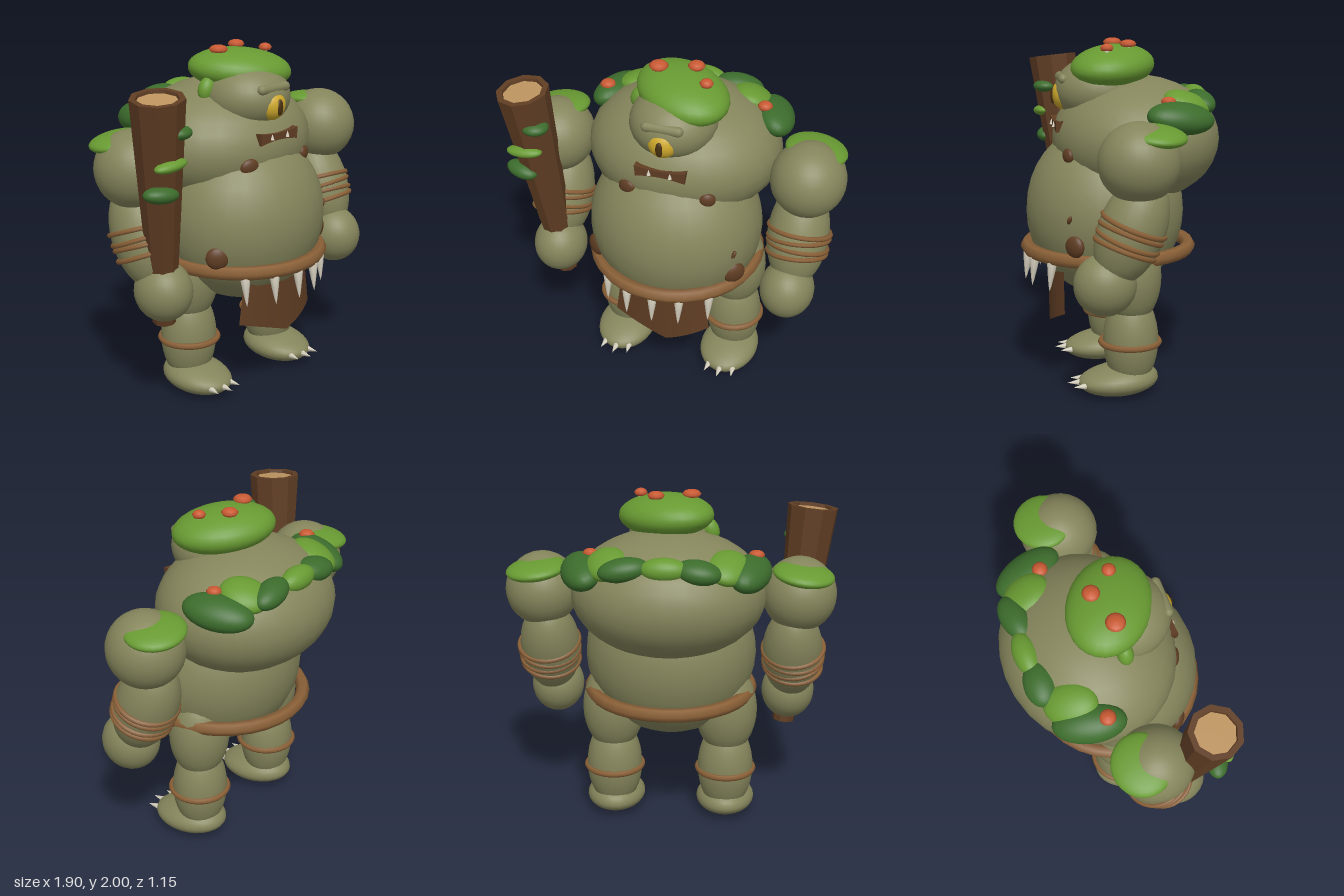
import * as THREE from 'three';

const mat = (name, color, extra = {}) => Object.assign(new THREE.MeshStandardMaterial({ color, ...extra }), { name });

export function createModel() {
  const skin = mat('skin', 0x85855c);
  const moss = mat('moss', 0x689a32);
  const darkMoss = mat('darkMoss', 0x3c6c2c);
  const wood = mat('darkWood', 0x5f3d23, { side: THREE.DoubleSide });
  const leather = mat('leather', 0x8a6037);
  const cutWood = mat('cutWood', 0xbd9460);
  const bone = mat('bone', 0xd6d0be);
  const cap = mat('mushroomCap', 0xc95a33);
  const yellow = mat('eyeYellow', 0xcfa92c);
  const dark = mat('pupilBrown', 0x46300f);

  const model = new THREE.Group();
  const add = (name, geo, material, pos = [0, 0, 0], rot = [0, 0, 0], parent = model) => {
    const m = new THREE.Mesh(geo, material);
    m.name = name;
    m.position.set(...pos);
    m.rotation.set(...rot);
    parent.add(m);
    return m;
  };
  const group = (name, pos = [0, 0, 0], rot = [0, 0, 0], parent = model) => {
    const g = new THREE.Group();
    g.name = name;
    g.position.set(...pos);
    g.rotation.set(...rot);
    parent.add(g);
    return g;
  };
  const ball = (name, material, pos, r, rot, parent) =>
    add(name, new THREE.SphereGeometry(1, 28, 18).scale(...r), material, pos, rot, parent);
  const ring = (name, R, tube, pos, rot, parent) =>
    add(name, new THREE.TorusGeometry(R, tube, 6, 32).rotateX(Math.PI / 2), leather, pos, rot, parent);

  // Body and head
  ball('belly', skin, [0, 1.02, 0.1], [0.5, 0.5, 0.455]);
  ball('chest', skin, [0, 1.43, -0.08], [0.555, 0.36, 0.48]);
  ball('head', skin, [0, 1.71, 0.135], [0.245, 0.19, 0.25]);

  // Face
  ball('eye', yellow, [0, 1.685, 0.33], [0.085, 0.085, 0.072]);
  ball('pupil', dark, [0, 1.68, 0.395], [0.021, 0.046, 0.014]);
  add('brow', new THREE.CapsuleGeometry(0.028, 0.18, 4, 10).rotateZ(Math.PI / 2), skin, [0, 1.78, 0.345]);
  const lips = new THREE.Shape();
  lips.moveTo(-0.145, 1.55);
  lips.quadraticCurveTo(0, 1.525, 0.145, 1.55);
  lips.lineTo(0.14, 1.485);
  lips.quadraticCurveTo(0, 1.515, -0.14, 1.485);
  add('mouth', new THREE.ExtrudeGeometry(lips, { depth: 0.045, bevelEnabled: false }), wood, [0, 0, 0.35]);
  for (const s of [-1, 1])
    add('mouthTooth', new THREE.ConeGeometry(0.012, 0.035, 6), bone, [s * 0.06, 1.525, 0.398]);

  // Skin warts
  [[-0.2, 1.375, 0.36, 0.055, 0.045, 0.025], [0.255, 1.37, 0.34, 0.045, 0.042, 0.025],
    [-0.41, 0.89, 0.325, 0.065, 0.065, 0.035], [0.41, 0.89, 0.325, 0.065, 0.065, 0.035],
    [0.415, 1.04, 0.354, 0.012, 0.025, 0.014]]
    .forEach(([x, y, z, ...r]) => ball('wart', wood, [x, y, z], r, [0, x * 1.6, -x]));

  // Moss on the head and across the back
  ball('headMoss', moss, [0.025, 1.845, 0.055], [0.295, 0.12, 0.225], [0, -0.6, -0.08]);
  ball('hangingMoss', moss, [-0.225, 1.765, 0.05], [0.05, 0.07, 0.045], [0, 0, -0.4]);
  [[0, 1.665, -0.425, 0.13, 0.065, 0.07], [0.32, 1.655, -0.31, 0.12, 0.065, 0.14],
    [-0.34, 1.645, -0.3, 0.12, 0.065, 0.15]]
    .forEach(([x, y, z, ...r]) => ball('backMoss', moss, [x, y, z], r, [-0.25, x, -x * 0.7]));
  [[-0.18, 1.65, -0.41, 0.13, 0.065, 0.09], [0.22, 1.655, -0.41, 0.14, 0.065, 0.08],
    [-0.46, 1.6, -0.24, 0.11, 0.085, 0.2], [0.47, 1.595, -0.25, 0.115, 0.085, 0.2]]
    .forEach(([x, y, z, ...r]) => ball('backMossDark', darkMoss, [x, y, z], r, [-0.1, x * 0.6, -x * 0.6]));

  // Mushrooms: cap underside centre and cap radius
  const capShape = [[0, -0.004], [0.8, -0.01], [1, 0.008], [0.75, 0.025], [0.4, 0.033], [0, 0.036]];
  [[-0.12, 1.965, 0.035, 0.054], [0.075, 1.965, -0.025, 0.048], [0.172, 1.95, 0.11, 0.038],
    [-0.49, 1.675, -0.15, 0.046], [0.425, 1.678, -0.19, 0.043]].forEach(([x, y, z, r]) => {
    const g = group('mushroom', [x, y, z]);
    add('mushroomStem', new THREE.CylinderGeometry(0.011, 0.016, 0.1, 8), bone, [0, -0.05, 0], [0, 0, 0], g);
    add('mushroomCap', new THREE.LatheGeometry(capShape.map(([a, b]) => new THREE.Vector2(a * r, b * 0.85)), 16),
      cap, [0, 0, 0], [0, 0, 0], g);
  });

  // Belt with hanging fangs
  ring('belt', 0.47, 0.04, [0, 0.805, 0.08]);
  const fang = new THREE.LatheGeometry([[0, -0.1], [0.008, -0.07], [0.02, 0], [0.028, 0.06], [0.018, 0.09], [0, 0.095]]
    .map(p => new THREE.Vector2(...p)), 8);
  for (const x of [-0.305, -0.16, 0, 0.15, 0.3]) {
    const z = 0.085 + Math.sqrt(0.2209 - x * x);
    add('beltFang', fang, bone, [x, 0.71, z], [-0.1, 0, 0]);
  }

  // Loincloth: thin sheet, flared downward, bowed forward and pointed at the hem
  const cloth = new THREE.PlaneGeometry(2, 1, 12, 8);
  const p = cloth.attributes.position;
  for (let i = 0; i < p.count; i++) {
    const u = p.getX(i), t = 0.5 - p.getY(i);
    const hem = 0.47 - 0.1 * (1 - Math.abs(u));
    p.setXYZ(i, u * (0.235 + 0.05 * t) + 0.04 * t * (1 - u * u), 0.82 + (hem - 0.82) * t, 0.43 - 0.06 * u * u);
  }
  cloth.computeVertexNormals();
  add('loincloth', cloth, wood);

  // Foot: ellipsoid that flattens toward the toes
  const footGeo = new THREE.SphereGeometry(1, 28, 18);
  const f = footGeo.attributes.position;
  for (let i = 0; i < f.count; i++) {
    const z = f.getZ(i), y = f.getY(i);
    f.setXYZ(i, f.getX(i) * 0.174, 0.088 + y * 0.088 * (y > 0 ? 1.05 - 0.25 * z : 1) - 0.01 * z, 0.072 + z * 0.23);
  }
  footGeo.computeVertexNormals();

  for (const s of [1, -1]) {
    const side = s > 0 ? 'left' : 'right';

    // Leg
    const leg = group(side + 'Leg', [s * 0.333, 0, 0]);
    ball('thigh', skin, [0, 0.69, 0], [0.182, 0.28, 0.172], [0, 0, 0], leg);
    ball('calf', skin, [0, 0.32, 0], [0.165, 0.285, 0.157], [0, 0, 0], leg);
    ring('legBand', 0.165, 0.018, [0, 0.31, 0.004], [0, 0, 0], leg);
    add('foot', footGeo, skin, [0, 0, 0], [0, 0, 0], leg);
    for (const k of [-1, 0, 1])
      add('toeClaw', new THREE.ConeGeometry(0.026, 0.1, 7).rotateX(Math.PI / 2), bone,
        [k * 0.077, 0.078, k ? 0.29 : 0.315], [0, k * 0.15, 0], leg);

    // Arm
    const arm = group(side + 'Arm');
    ball('shoulder', skin, [s * 0.738, 1.405, 0.025], [0.212, 0.215, 0.22], [0, 0, 0], arm);
    ball('shoulderMoss', moss, [s * 0.755, 1.545, -0.06], [0.175, 0.052, 0.165], [-0.08, 0, -s * 0.12], arm);
    const fore = group('forearmGroup', [s * 0.71, 1.04, 0.06], [-0.38, 0, 0], arm);
    ball('forearm', skin, [0, 0, 0], [0.175, 0.31, 0.18], [0, 0, 0], fore);
    [0.03, -0.015, -0.06, -0.105].forEach((y, i) =>
      ring('armBand', 0.175 - i * 0.003, 0.015, [s * 0.005, y, 0], [0, 0, (i % 2 ? 1 : -1) * 0.05], fore));
    ball('hand', skin, [s * 0.695, 0.745, 0.2], [0.156, 0.17, 0.17], [0, 0, 0], arm);
  }

  // Club: hollow-topped tapered trunk running through the right hand
  const low = new THREE.Vector3(-0.675, 0.555, 0.18), high = new THREE.Vector3(-0.808, 1.845, 0.31);
  const length = low.distanceTo(high);
  const club = group('club', low.toArray());
  club.quaternion.setFromUnitVectors(new THREE.Vector3(0, 1, 0), high.clone().sub(low).normalize());
  const trunk = new THREE.LatheGeometry([[0, 0], [0.065, 0], [0.148, length], [0.115, length], [0.108, length - 0.04]]
    .map(q => new THREE.Vector2(...q)), 9).toNonIndexed();
  trunk.computeVertexNormals();
  add('clubTrunk', trunk, wood, [0, 0, 0], [0, 0, 0], club);
  add('clubCutEnd', new THREE.CylinderGeometry(0.112, 0.112, 0.01, 20), cutWood, [0, length - 0.022, 0], [0, 0, 0], club);

  // Moss tufts on the club
  ball('clubMoss', darkMoss, [-0.72, 1.66, 0.37], [0.075, 0.038, 0.07], [0, 0.5, 0]);
  ball('clubMoss', moss, [-0.79, 1.5, 0.385], [0.105, 0.032, 0.05], [0, 0, 0.08]);
  ball('clubMoss', darkMoss, [-0.83, 1.345, 0.35], [0.1, 0.045, 0.06], [0, -0.3, -0.08]);

  return model;
}
